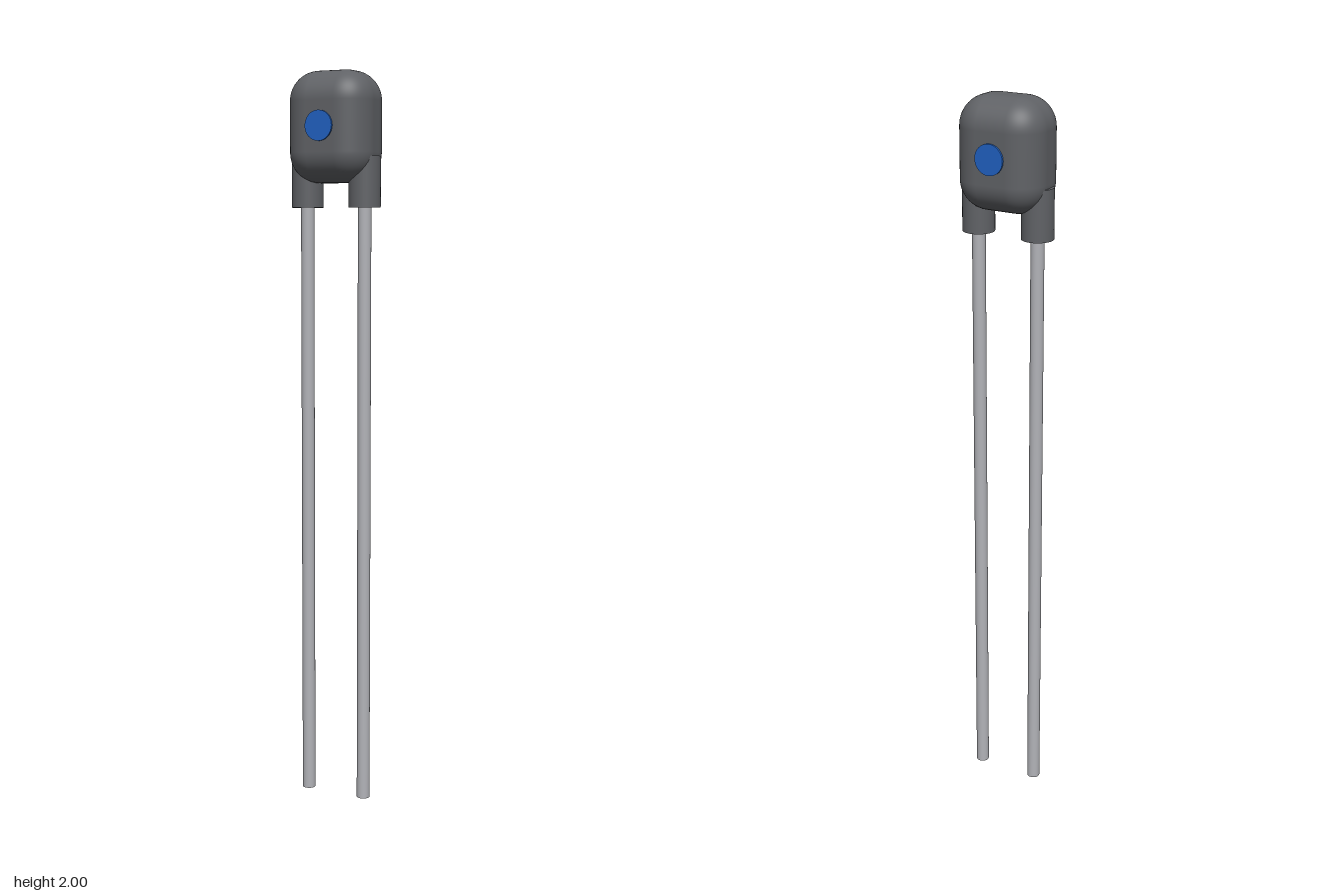
import * as THREE from 'three';
import { RoundedBoxGeometry } from 'three/addons/geometries/RoundedBoxGeometry.js';

export function createModel() {
  const group = new THREE.Group();
  const material = (name, color) => {
    const m = new THREE.MeshStandardMaterial({ color });
    m.name = name;
    return m;
  };
  const coating = material('dark grey coating', 0x606266);
  const metal = material('lead metal', 0xb2b3b8);
  const blue = material('blue mark', 0x2060c0);

  const add = (name, geometry, mat, x, y, z) => {
    const mesh = new THREE.Mesh(geometry, mat);
    mesh.name = name;
    mesh.position.set(x, y, z);
    group.add(mesh);
    return mesh;
  };

  // Softly rounded body
  add('body', new RoundedBoxGeometry(0.242, 0.295, 0.188, 8, 0.08), coating, 0, 1.8525, 0);

  // Sleeves and wire leads, one on each side
  const sleeve = new THREE.CylinderGeometry(0.043, 0.043, 0.135, 32);
  const lead = new THREE.CylinderGeometry(0.018, 0.018, 1.66, 24);
  for (const [side, s] of [['left', 1], ['right', -1]]) {
    add(side + 'Sleeve', sleeve, coating, s * 0.087, 1.7075, 0);
    add(side + 'Lead', lead, metal, s * 0.087, 0.83, 0);
  }

  // Thin round marks on the front and back faces
  const mark = new THREE.CylinderGeometry(0.04, 0.04, 0.008, 32);
  for (const [side, s] of [['front', 1], ['back', -1]]) {
    add(side + 'Mark', mark, blue, 0, 1.8525, s * 0.0955).rotation.x = Math.PI / 2;
  }

  return group;
}
